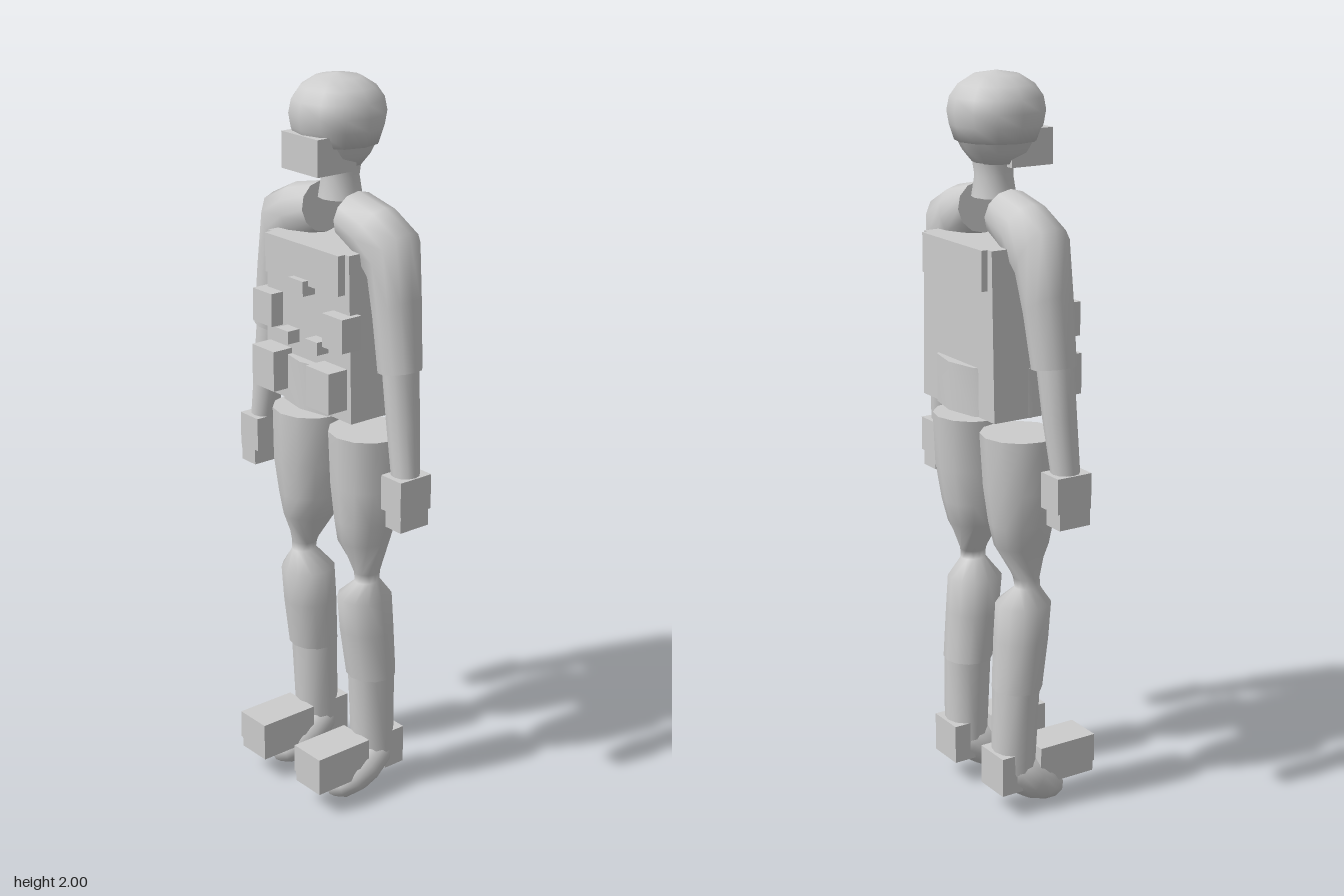
import * as THREE from 'three';

const grey = new THREE.MeshStandardMaterial({ color: 0xcccccc });
grey.name = 'lightGrey';

// Capped loft. Ring: [innerX, innerY, outerX, outerY, centreZ, radiusZ, twist]
function loft(rings, s = 1, n = 12) {
  const pos = [], idx = [];
  const point = ([x1, y1, x2, y2, cz, rz, twist = 0], j) => {
    const a = (j / n) * Math.PI * 2 + twist, c = Math.cos(a) / 2;
    pos.push(s * ((x1 + x2) / 2 + (x2 - x1) * c), (y1 + y2) / 2 + (y2 - y1) * c, cz + rz * Math.sin(a));
  };
  const tri = (a, b, c) => (s > 0 ? idx.push(a, b, c) : idx.push(a, c, b));
  rings.forEach((r) => { for (let j = 0; j < n; j++) point(r, j); });
  for (let i = 0; i < rings.length - 1; i++) {
    for (let j = 0; j < n; j++) {
      const k = (j + 1) % n, a = i * n + j, b = i * n + k;
      tri(a, b, a + n);
      tri(b, b + n, a + n);
    }
  }
  // end caps have their own corners so the rim stays sharp
  [rings[0], rings[rings.length - 1]].forEach((r, end) => {
    const base = pos.length / 3;
    for (let j = 0; j < n; j++) point(r, j);
    for (let j = 1; j < n - 1; j++) {
      if (end) tri(base, base + j, base + j + 1);
      else tri(base, base + j + 1, base + j);
    }
  });
  const g = new THREE.BufferGeometry();
  g.setAttribute('position', new THREE.Float32BufferAttribute(pos, 3));
  g.setIndex(idx);
  g.computeVertexNormals();
  return g;
}

export function createModel() {
  const model = new THREE.Group();
  model.name = 'armouredFigure';

  const add = (name, geometry) => {
    const m = new THREE.Mesh(geometry, grey);
    m.name = name;
    model.add(m);
    return m;
  };
  // box from its limits, mirrored by s
  const box = (name, x0, x1, y0, y1, z0, z1, s = 1) => {
    const m = add(name, new THREE.BoxGeometry(x1 - x0, y1 - y0, z1 - z0));
    m.position.set((s * (x0 + x1)) / 2, (y0 + y1) / 2, (z0 + z1) / 2);
    return m;
  };
  const lathe = (name, pts, z) => {
    const m = add(name, new THREE.LatheGeometry(pts.map(([x, y]) => new THREE.Vector2(x, y)), 12));
    m.position.z = z;
    return m;
  };

  // head
  lathe('helmet', [[0, 1.825], [0.108, 1.825], [0.121, 1.865], [0.127, 1.9], [0.12, 1.935],
    [0.098, 1.966], [0.06, 1.99], [0, 2]], -0.03);
  lathe('jaw', [[0, 1.762], [0.062, 1.768], [0.088, 1.8], [0.106, 1.835]], -0.03);
  box('mask', -0.073, 0.073, 1.76, 1.855, -0.03, 0.095);
  add('neck', loft([
    [-0.055, 1.78, 0.055, 1.78, -0.04, 0.055],
    [-0.05, 1.735, 0.05, 1.735, -0.038, 0.05],
    [-0.06, 1.68, 0.06, 1.68, -0.038, 0.058],
  ]));

  // vest, slightly wider at the hem
  const vest = box('vest', -0.166, 0.166, 1.13, 1.575, -0.15, 0.07);
  const p = vest.geometry.attributes.position;
  for (let i = 0; i < p.count; i++) if (p.getY(i) < 0) p.setX(i, p.getX(i) * 1.07);
  vest.geometry.computeVertexNormals();
  box('chestPanel', -0.15, 0.15, 1.47, 1.575, 0.06, 0.092);
  box('backPanel', -0.146, 0.146, 1.47, 1.575, -0.167, -0.14);
  box('buckle', -0.03, 0.03, 1.445, 1.485, 0.06, 0.11);
  add('waist', loft([
    [-0.176, 1.26, 0.176, 1.26, -0.04, 0.138],
    [-0.18, 1.13, 0.18, 1.13, -0.04, 0.138],
  ]));

  for (const s of [1, -1]) {
    const side = s > 0 ? 'left' : 'right';

    // pouches
    box(side + 'SidePouch', 0.105, 0.185, 1.33, 1.42, 0.045, 0.108, s);
    box(side + 'SmallPouch', 0.035, 0.085, 1.3, 1.335, 0.06, 0.108, s);
    box(side + 'BeltPouch', 0.068, 0.16, 1.165, 1.275, 0.04, 0.131, s);

    // arm
    add(side + 'Sleeve', loft([
      [0.053, 1.575, 0.075, 1.708, -0.035, 0.072],
      [0.12, 1.535, 0.18, 1.685, -0.035, 0.076],
      [0.16, 1.48, 0.275, 1.64, -0.033, 0.073],
      [0.18, 1.4, 0.297, 1.47, -0.028, 0.066],
      [0.2, 1.27, 0.317, 1.288, -0.023, 0.058],
    ], s));
    add(side + 'Forearm', loft([
      [0.213, 1.29, 0.309, 1.3, -0.022, 0.049],
      [0.235, 1.15, 0.322, 1.15, -0.018, 0.045],
      [0.26, 1.005, 0.336, 1.005, -0.012, 0.038],
    ], s));
    box(side + 'Palm', 0.263, 0.34, 0.915, 1.01, -0.063, 0.04, s);
    box(side + 'Fingers', 0.279, 0.339, 0.87, 0.915, -0.056, 0.038, s);

    // leg, wrung tight at the knee
    add(side + 'Leg', loft([
      [0.012, 1.075, 0.226, 1.075, -0.035, 0.105],
      [0.022, 0.93, 0.222, 0.93, -0.033, 0.1],
      [0.036, 0.83, 0.203, 0.83, -0.031, 0.088],
      [0.05, 0.765, 0.185, 0.765, -0.028, 0.076],
      [0.1, 0.675, 0.17, 0.675, -0.023, 0.036, 1.1],
      [0.107, 0.65, 0.168, 0.65, -0.022, 0.036, 1.45],
      [0.05, 0.6, 0.196, 0.6, -0.025, 0.076, 2.1],
      [0.048, 0.5, 0.199, 0.5, -0.033, 0.074, 2.1],
      [0.056, 0.36, 0.197, 0.36, -0.047, 0.068, 2.1],
    ], s));
    add(side + 'BootShaft', loft([
      [0.06, 0.37, 0.19, 0.37, -0.049, 0.065],
      [0.063, 0.12, 0.184, 0.12, -0.057, 0.06],
    ], s));

    // foot
    const foot = add(side + 'Foot', new THREE.SphereGeometry(1, 12, 8));
    foot.scale.set(0.073, 0.06, 0.125);
    foot.rotation.x = 0.55;
    foot.position.set(s * 0.123, 0.085, -0.01);
    box(side + 'ToeCap', 0.068, 0.177, 0.1, 0.18, 0, 0.177, s);
    box(side + 'Sole', 0.071, 0.174, 0.07, 0.1, -0.11, 0.174, s);
    box(side + 'Heel', 0.068, 0.177, 0.07, 0.18, -0.125, -0.06, s);
  }
  return model;
}
